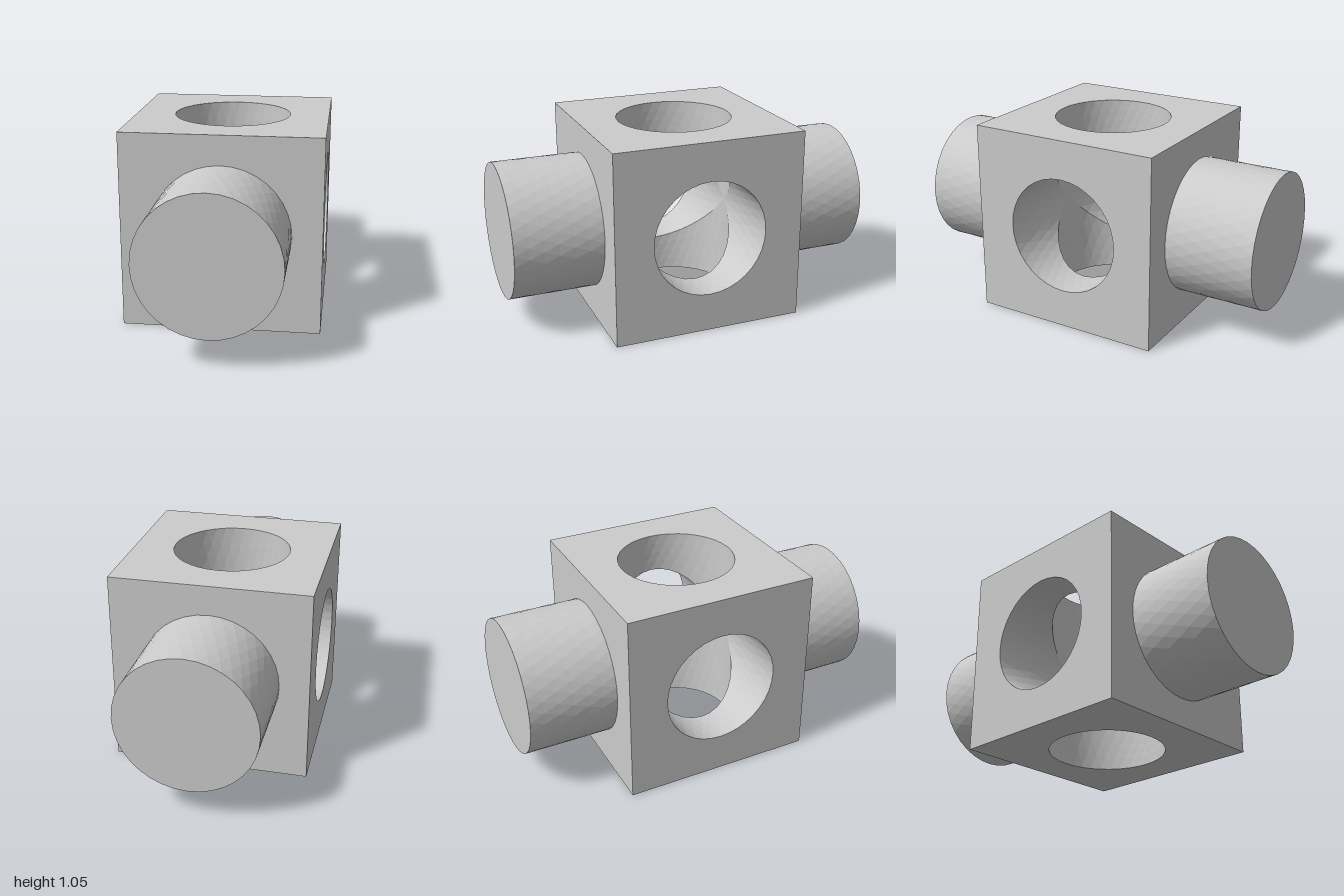
import * as THREE from 'three';

const HALF = 0.526;    // half the cube's side
const BORE = 0.316;    // radius of the through holes
const STUB = 0.368;    // radius of the round stubs
const SIDES = 36;      // divisible by 4, so all seams meet

const material = new THREE.MeshStandardMaterial({ color: 0xcccccc, flatShading: true });

// Faceted wall along +z with every second ring turned half a step;
// start(angle) gives the z where the wall begins.
function facetedWall(radius, start, end, rows, inward) {
  const positions = [];
  const index = [];
  for (let i = 0; i <= rows; i++) {
    for (let j = 0; j < SIDES; j++) {
      const a = ((j + (i % 2) / 2) / SIDES) * Math.PI * 2;
      const z = THREE.MathUtils.lerp(start(a), end, i / rows);
      positions.push(radius * Math.cos(a), radius * Math.sin(a), z);
    }
  }
  const tri = (a, b, c) => (inward ? index.push(a, c, b) : index.push(a, b, c));
  for (let i = 0; i < rows; i++) {
    for (let j = 0; j < SIDES; j++) {
      const k = (j + 1) % SIDES;
      const lo = i * SIDES;
      const hi = lo + SIDES;
      if (i % 2 === 0) {
        tri(lo + j, lo + k, hi + j);
        tri(hi + j, lo + k, hi + k);
      } else {
        tri(lo + j, lo + k, hi + k);
        tri(lo + j, hi + k, hi + j);
      }
    }
  }
  const geometry = new THREE.BufferGeometry();
  geometry.setAttribute('position', new THREE.Float32BufferAttribute(positions, 3));
  geometry.setIndex(index);
  geometry.computeVertexNormals();
  return geometry;
}

// Square cube face with a round opening, facing +z
function cubeFace(radius) {
  const shape = new THREE.Shape([
    new THREE.Vector2(-HALF, -HALF), new THREE.Vector2(HALF, -HALF),
    new THREE.Vector2(HALF, HALF), new THREE.Vector2(-HALF, HALF),
  ]);
  const rim = [];
  for (let j = 0; j < SIDES; j++) {
    const a = (-j / SIDES) * Math.PI * 2;
    rim.push(new THREE.Vector2(radius * Math.cos(a), radius * Math.sin(a)));
  }
  shape.holes.push(new THREE.Path(rim));
  return new THREE.ShapeGeometry(shape).translate(0, 0, HALF);
}

export function createModel() {
  const model = new THREE.Group();
  model.name = 'crossBoredBlock';

  // Each side is modelled facing +z, then turned into place
  const addSide = (name, rx, ry, parts) => {
    const side = new THREE.Group();
    side.name = name;
    side.rotation.set(rx, ry, 0);
    for (const [partName, geometry] of Object.entries(parts)) {
      const mesh = new THREE.Mesh(geometry, material);
      mesh.name = partName;
      side.add(mesh);
    }
    side.position.y = HALF;
    model.add(side);
  };

  // Front and back: solid round stubs
  const stubParts = {
    cubeFace: cubeFace(STUB),
    stubWall: facetedWall(STUB, () => HALF, 1, 6, false),
    stubEnd: new THREE.CircleGeometry(STUB, SIDES).translate(0, 0, 1),
  };
  addSide('frontStub', 0, 0, stubParts);
  addSide('backStub', 0, Math.PI, stubParts);

  // Left and right: bore walls end on the seam where the two bores cross
  const sideParts = {
    cubeFace: cubeFace(BORE),
    boreWall: facetedWall(BORE, (a) => BORE * Math.abs(Math.sin(a)), HALF, 4, true),
  };
  addSide('leftOpening', 0, Math.PI / 2, sideParts);
  addSide('rightOpening', 0, -Math.PI / 2, sideParts);

  // Top and bottom: the vertical bore
  const uprightParts = {
    cubeFace: cubeFace(BORE),
    boreWall: facetedWall(BORE, (a) => BORE * Math.abs(Math.cos(a)), HALF, 4, true),
  };
  addSide('topOpening', -Math.PI / 2, 0, uprightParts);
  addSide('bottomOpening', Math.PI / 2, 0, uprightParts);

  return model;
}
